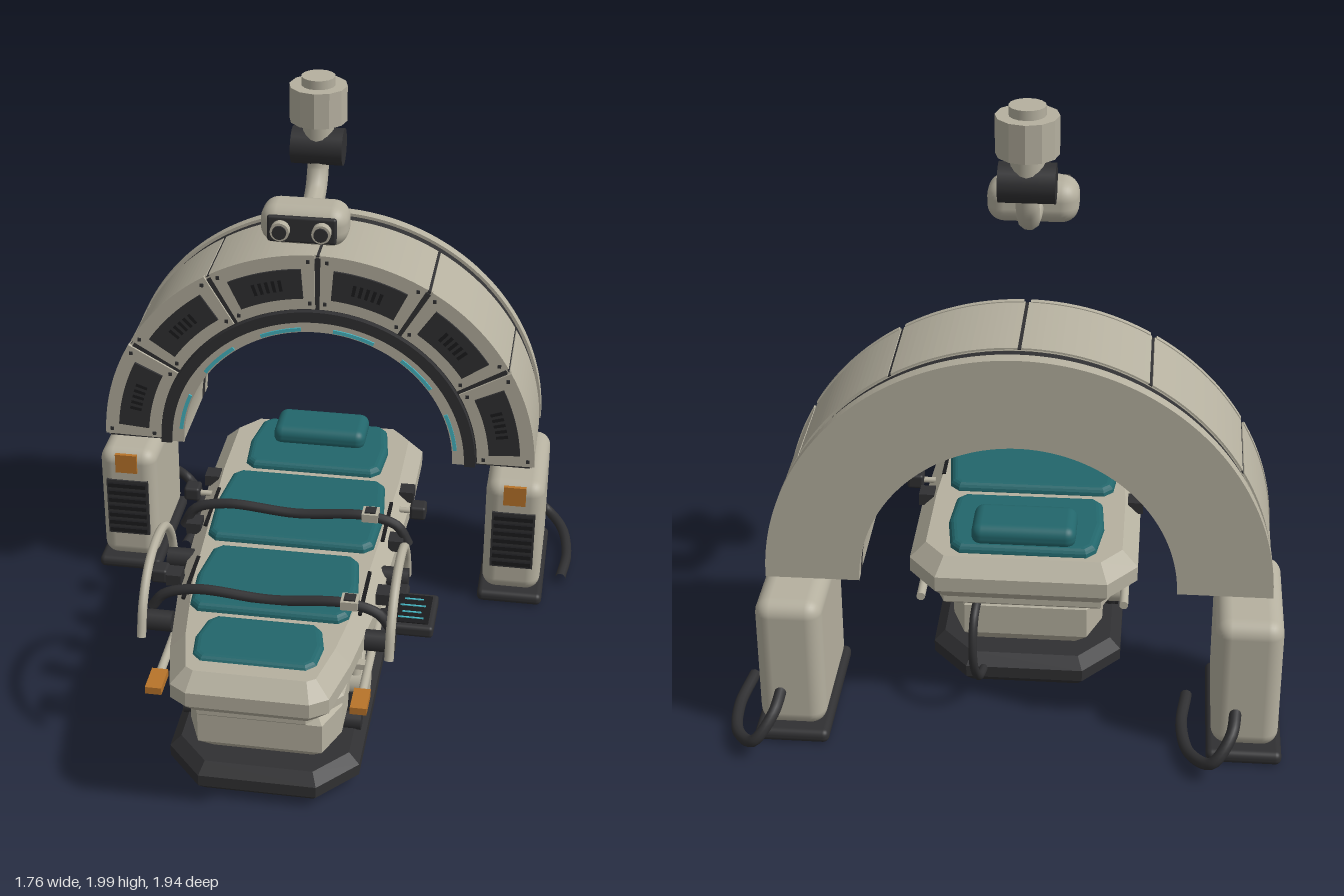
import * as THREE from 'three';
import { RoundedBoxGeometry } from 'three/addons/geometries/RoundedBoxGeometry.js';

const mat = (name, color) => Object.assign(new THREE.MeshStandardMaterial({ color }), { name });
const shell = mat('warm grey shell', 0xb5b09f);
const dark = mat('charcoal', 0x303032);
const black = mat('black slots', 0x1b1b1d);
const teal = mat('teal upholstery', 0x22666b);
const cyan = mat('cyan light', 0x45b5c2);
const amber = mat('amber marker', 0xb8742a);

export function createModel() {
  const root = new THREE.Group();
  root.name = 'scannerBed';
  root.position.x = -0.053;
  const V = (p) => new THREE.Vector3(...p);

  const add = (name, geo, m, pos = [0, 0, 0], parent = root) => {
    const mesh = new THREE.Mesh(geo, m);
    mesh.name = name;
    mesh.position.set(...pos);
    parent.add(mesh);
    return mesh;
  };
  const box = (name, m, size, pos, parent) => add(name, new THREE.BoxGeometry(...size), m, pos, parent);
  const round = (name, m, size, r, pos) => add(name, new RoundedBoxGeometry(...size, 4, r), m, pos);
  const tube = (name, m, pts, r) =>
    add(name, new THREE.TubeGeometry(new THREE.CatmullRomCurve3(pts.map(V)), 40, r, 10), m);
  // straight rod between two points
  const rod = (name, m, a, b, r, sides = 16) => {
    const d = V(b).sub(V(a));
    const mesh = add(name, new THREE.CylinderGeometry(r, r, d.length(), sides), m);
    mesh.position.copy(V(a)).addScaledVector(d, 0.5);
    mesh.quaternion.setFromUnitVectors(new THREE.Vector3(0, 1, 0), d.normalize());
    return mesh;
  };
  // chamfered slab from mirrored [halfWidth, z] outline
  const slab = (name, m, half, y0, y1, b, segs = 1) => {
    const pts = [...half, ...half.map(([x, z]) => [-x, z]).reverse()];
    const shape = new THREE.Shape(pts.map(([x, z]) => new THREE.Vector2(x, -z)));
    const geo = new THREE.ExtrudeGeometry(shape, {
      depth: y1 - y0 - 2 * b, bevelThickness: b, bevelSize: b, bevelOffset: -b, bevelSegments: segs,
    });
    geo.rotateX(-Math.PI / 2).translate(0, y0 + b, 0);
    return add(name, geo, m);
  };
  // sector of the arch between radii, angles in degrees, z0 < z1
  const arc = (name, m, r0, r1, a0, a1, z0, z1) => {
    const s = new THREE.Shape(), t = Math.PI / 180;
    s.absarc(0, 0, r1, a0 * t, a1 * t, false);
    s.absarc(0, 0, r0, a1 * t, a0 * t, true);
    const curveSegments = Math.max(4, Math.ceil((a1 - a0) / 3));
    const geo = new THREE.ExtrudeGeometry(s, { depth: z1 - z0, bevelEnabled: false, curveSegments });
    return add(name, geo, m, [0, 0.59, z0]);
  };

  // Arch body, dark band and rear flange
  arc('archBody', shell, 0.487, 0.766, 0, 180, -0.715, -0.4);
  arc('archBand', dark, 0.487, 0.764, 0, 180, -0.76, -0.715);
  arc('archRearFlange', shell, 0.485, 0.775, 0, 180, -0.8, -0.76);
  arc('archInnerRim', shell, 0.485, 0.53, 0, 180, -0.4, -0.385);
  arc('archDarkRing', dark, 0.528, 0.567, 0, 180, -0.4, -0.372);
  arc('archPanelGap', dark, 0.567, 0.76, 0, 180, -0.4, -0.396);
  for (let i = 0; i < 6; i++) {
    const a = i * 30, c = a + 15;
    arc('archFrontPanel', shell, 0.572, 0.775, a + 0.8, a + 29.2, -0.405, -0.388);
    arc('archOuterPanel', shell, 0.76, 0.772, a + 0.4, a + 29.6, -0.712, -0.4);
    arc('panelInset', dark, 0.615, 0.725, c - 10.5, c + 10.5, -0.388, -0.38);
    for (let k = -2; k <= 2; k++)
      arc('panelVent', black, 0.648, 0.69, c + k * 2 - 0.5, c + k * 2 + 0.5, -0.38, -0.377);
    arc('lightStrip', cyan, 0.49, 0.503, c - 8.5, c + 8.5, -0.385, -0.38);
    for (const s of [-12.5, 12.5]) for (const r of [0.595, 0.752]) {
      const t = (c + s) * Math.PI / 180;
      box('panelBolt', dark, [0.012, 0.012, 0.006], [r * Math.cos(t), 0.59 + r * Math.sin(t), -0.386]);
    }
    if (i) arc('archSeam', dark, 0.75, 0.769, a - 0.5, a + 0.5, -0.712, -0.4);
  }

  // Side cabinets with grille, marker, foot plate and cable
  for (const s of [-1, 1]) {
    const x = s * 0.712;
    round('cabinet', shell, [0.21, 0.458, 0.43], 0.05, [x, 0.278, -0.625]);
    round('cabinetFoot', dark, [0.236, 0.045, 0.485], 0.02, [x, 0.032, -0.627]);
    box('cabinetGrille', dark, [0.155, 0.23, 0.014], [x, 0.275, -0.41]);
    for (let i = 0; i < 7; i++) box('grilleSlat', black, [0.14, 0.016, 0.014], [x, 0.18 + i * 0.032, -0.4]);
    box('cabinetMarker', amber, [0.08, 0.075, 0.014], [x, 0.463, -0.408]);
    tube('cabinetCable', dark, [[0.03, 0.19, -0.82], [0.045, 0.15, -0.91], [0.1, 0.08, -0.955],
      [0.165, 0.05, -0.88], [0.195, 0.035, -0.72], [0.18, 0.033, -0.55]].map(([a, b, c]) => [x + a, b, c]), 0.019);
  }

  // Base, lift housing and deck
  slab('base', dark, [[0.19, 0.835], [0.31, 0.7], [0.31, -0.4], [0.19, -0.535]], 0.02, 0.13, 0.035);
  slab('liftHousing', shell, [[0.2, 0.775], [0.247, 0.66], [0.247, -0.36], [0.2, -0.475]], 0.13, 0.352, 0.058);
  slab('deckTray', shell, [[0.17, 0.91], [0.27, 0.78], [0.3, -0.5], [0.25, -0.62]], 0.395, 0.44, 0.01);
  slab('deck', shell, [[0.19, 0.967], [0.245, 0.93], [0.285, 0.75], [0.325, 0.45], [0.362, -0.25],
    [0.362, -0.56], [0.27, -0.67]], 0.425, 0.575, 0.05);

  // Upholstery: [width, z0, z1, top]
  for (const [w, z0, z1, top] of [[0.41, 0.63, 0.868, 0.588], [0.53, 0.25, 0.612, 0.6],
    [0.58, -0.225, 0.207, 0.602], [0.5, -0.6, -0.27, 0.602]]) {
    const h = w / 2, m = 0.03;
    slab('cushion', teal, [[h - 0.04, z1], [h - 0.01, z1 - m], [h, (z0 + z1) / 2], [h - 0.02, z0 + m],
      [h - 0.05, z0]], 0.54, top, 0.024, 4);
  }
  round('headPillow', teal, [0.33, 0.075, 0.17], 0.033, [0, 0.622, -0.5]);

  // Straps with buckles
  for (const z of [0.075, 0.56]) {
    const y = z > 0.3 ? -0.008 : 0.01;
    tube('strap', dark, [[-0.385, 0.54, z], [-0.345, 0.6 + y, z], [-0.24, 0.63 + y, z], [0, 0.615 + y, z],
      [0.24, 0.63 + y, z], [0.345, 0.6 + y, z], [0.385, 0.54, z]], 0.017);
    box('buckle', shell, [0.055, 0.03, 0.055], [0.255, 0.635 + y, z]);
    box('buckleCentre', dark, [0.036, 0.008, 0.036], [0.255, 0.651 + y, z]);
  }

  for (const s of [-1, 1]) {
    // Grab handle with mounts
    tube('grabHandle', shell, [[s * 0.395, 0.5, 0.675], [s * 0.395, 0.6, 0.635], [s * 0.395, 0.68, 0.55],
      [s * 0.395, 0.71, 0.43], [s * 0.395, 0.685, 0.31], [s * 0.395, 0.6, 0.23], [s * 0.395, 0.5, 0.195]], 0.015);
    for (const z of [0.595, 0.235])
      rod('handleMount', dark, [s * 0.31, 0.513, z], [s * 0.405, 0.513, z], 0.034, 12);
    // Deck side clamps
    for (const z of [0.4, 0.087, -0.225]) box('deckClamp', dark, [0.05, 0.04, 0.06], [s * 0.345, 0.553, z]);
    for (const z of [0.39, -0.12]) {
      rod('knobPin', shell, [s * 0.33, 0.55, z], [s * 0.39, 0.55, z], 0.01);
      round('knob', dark, [0.055, 0.05, 0.06], 0.01, [s * 0.396, 0.555, z]);
    }
    // Dark slots beside the cushions
    for (const [z, x] of [[0.43, 0.285], [0, 0.302]])
      box('deckSlot', black, [0.012, 0.008, 0.24], [s * x, 0.574, z]);
    // Under rail with amber tip
    rod('sideRail', shell, [s * 0.322, 0.418, 0.76], [s * 0.322, 0.418, -0.62], 0.014);
    box('railTip', amber, [0.052, 0.025, 0.1], [s * 0.322, 0.42, 0.79]);
    for (const z of [0.6, 0.1, -0.4]) box('railBracket', shell, [0.07, 0.02, 0.03], [s * 0.29, 0.418, z]);
    // Lift linkage
    for (const z of [0.447, -0.246]) {
      const x = s * 0.265;
      rod('liftPivot', shell, [s * 0.235, 0.235, z], [s * 0.308, 0.235, z], 0.046, 20);
      rod('upperArm', shell, [x, 0.235, z], [x, 0.4, z - 0.175], 0.02);
      rod('shortArm', shell, [x, 0.29, z + 0.035], [x, 0.41, z + 0.005], 0.018);
      rod('lowerArm', dark, [x, 0.1, z + 0.1], [x, 0.22, z + 0.04], 0.028);
      rod('lowerPivot', dark, [s * 0.24, 0.145, z + 0.09], [s * 0.295, 0.145, z + 0.09], 0.032);
    }
    // Housing slots
    for (const z of [0.275, 0.025, -0.22]) box('housingSlot', black, [0.01, 0.03, 0.08], [s * 0.246, 0.265, z]);
  }
  // Hose at the head end
  tube('liftHose', dark, [[0.14, 0.41, -0.55], [0.15, 0.36, -0.65], [0.15, 0.23, -0.69], [0.14, 0.12, -0.62],
    [0.13, 0.08, -0.5]], 0.014);

  // Control tablet
  rod('tabletArm', dark, [0.34, 0.545, 0.5], [0.42, 0.575, 0.52], 0.02);
  round('tablet', dark, [0.145, 0.04, 0.19], 0.012, [0.452, 0.58, 0.53]);
  box('tabletScreen', black, [0.11, 0.004, 0.15], [0.452, 0.601, 0.53]);
  [0.48, 0.515, 0.55, 0.58].forEach((z, i) =>
    box('screenLine', cyan, [i % 2 ? 0.08 : 0.06, 0.003, 0.006], [0.45, 0.604, z]));

  // Overhead camera: mount, joint, arm and head
  const zc = -0.41;
  rod('mountCap', shell, [0, 1.96, zc], [0, 2, zc], 0.056, 16);
  const column = rod('mountColumn', shell, [0, 1.85, zc], [0, 1.97, zc], 0.096, 12);
  column.geometry = column.geometry.toNonIndexed();
  column.geometry.computeVertexNormals();
  rod('mountNeck', shell, [0, 1.79, zc], [0, 1.86, zc], 0.052);
  rod('mountJoint', dark, [-0.086, 1.757, zc], [0.086, 1.757, zc], 0.062, 24);
  tube('cameraArm', shell, [[0, 1.73, zc], [0, 1.675, -0.4], [0, 1.62, -0.355], [0, 1.6, -0.29],
    [0, 1.6, -0.2]], 0.036);
  round('cameraHead', shell, [0.286, 0.135, 0.15], 0.055, [0, 1.602, -0.15]);
  round('cameraFace', dark, [0.225, 0.09, 0.02], 0.009, [0, 1.605, -0.072]);
  for (const s of [-1, 1]) {
    rod('lensBarrel', shell, [s * 0.067, 1.607, -0.07], [s * 0.067, 1.607, -0.035], 0.031, 24);
    rod('lensGlass', dark, [s * 0.067, 1.607, -0.036], [s * 0.067, 1.607, -0.028], 0.023, 24);
  }
  const out = new THREE.Group();
  out.name = 'model';
  out.add(root);
  return out;
}
